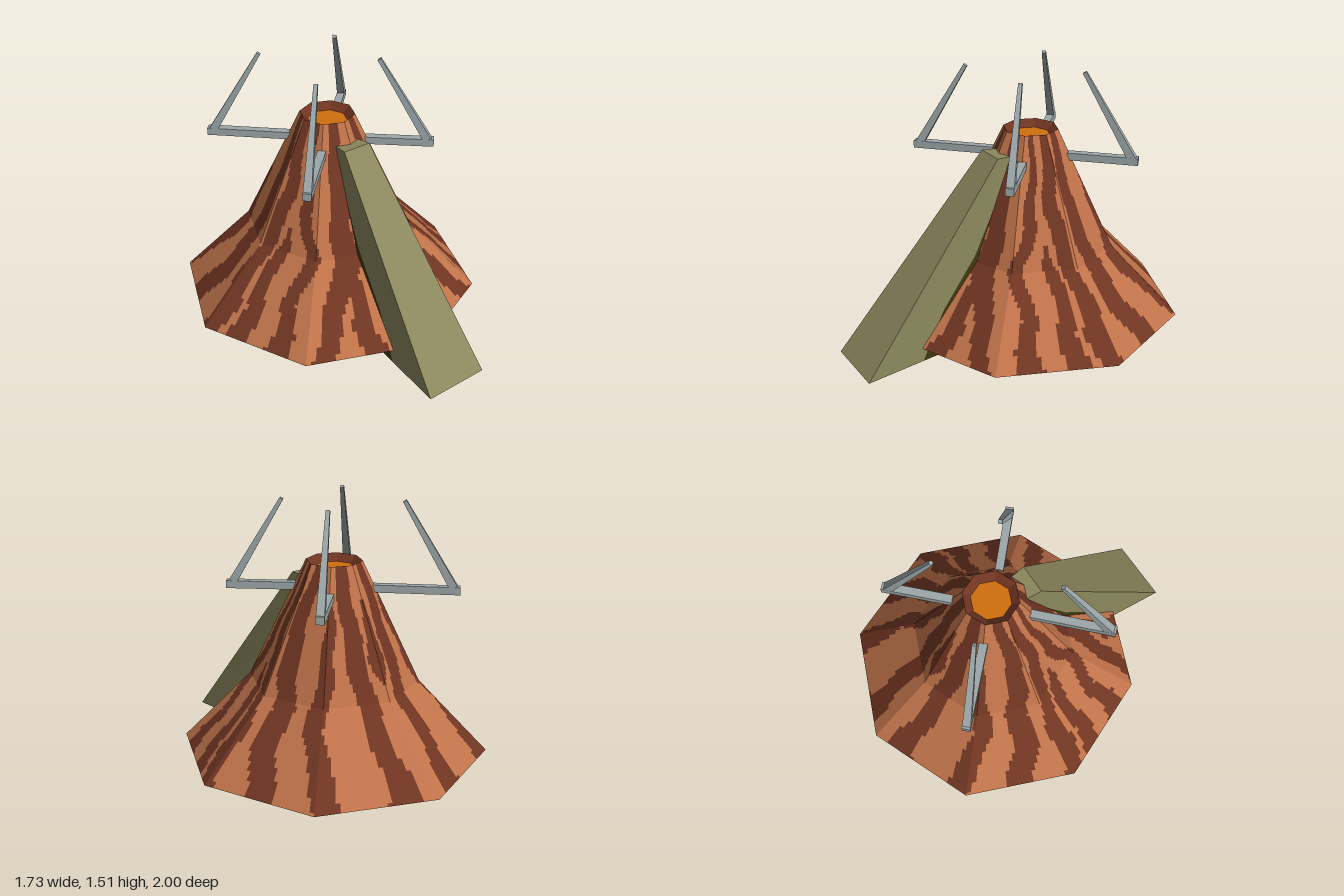
import * as THREE from 'three';

const mat = (name, color, side = THREE.FrontSide) => {
  const m = new THREE.MeshStandardMaterial({ color, side });
  m.name = name;
  return m;
};
const lerp = THREE.MathUtils.lerp;

// Piecewise linear lookup in rows [key, v1, v2...], keys ascending
function sample(rows, k, col) {
  let i = 1;
  while (i < rows.length - 1 && rows[i][0] < k) i++;
  const a = rows[i - 1], b = rows[i];
  return lerp(a[col], b[col], THREE.MathUtils.clamp((k - a[0]) / (b[0] - a[0]), 0, 1));
}

// Flat-shaded mesh from loose quads (corners counter-clockwise from outside)
function quadMesh(name, quads, material) {
  const pos = [];
  for (const [a, b, c, d] of quads) pos.push(...a, ...b, ...c, ...a, ...c, ...d);
  const g = new THREE.BufferGeometry();
  g.setAttribute('position', new THREE.Float32BufferAttribute(pos, 3));
  g.computeVertexNormals();
  const mesh = new THREE.Mesh(g, material);
  mesh.name = name;
  return mesh;
}

// Lava streaks, mirrored left and right: rows of [height, angle from front, half width]
const STREAKS = [
  [[0.09, 40, 4], [0.25, 34, 5], [0.5, 24, 10], [0.8, 27, 8], [1.17, 25, 10]],
  [[0.09, 17, 5], [0.3, 22, 4], [0.5, 24, 5]],
  [[0.09, 58, 5], [0.3, 56, 4], [0.5, 48, 5], [0.7, 56, 6], [1.0, 60, 5], [1.17, 58, 5]],
  [[0.09, 76, 5], [0.3, 75, 4], [0.5, 72, 5], [0.62, 70, 1]],
  [[0.09, 89, 4], [0.3, 87, 5], [0.5, 85, 5], [0.8, 78, 8], [1.17, 84, 8]],
  [[0.09, 112, 6], [0.3, 107, 7], [0.5, 106, 8], [0.85, 99, 9], [1.17, 110, 10]],
  [[0.09, 141, 5], [0.25, 134, 5], [0.4, 131, 6], [0.6, 134, 6], [0.85, 138, 6], [1.0, 136, 2]],
  [[0.09, 168, 6], [0.3, 167, 5], [0.5, 164, 7], [0.8, 160, 9], [1.17, 154, 12]],
  [[0.55, 180, 1], [0.7, 180, 7], [0.9, 180, 6], [1.0, 180, 1]],
];
function isDark(angle, y) {
  const a = Math.abs(angle > 180 ? angle - 360 : angle);
  return STREAKS.some((s) => {
    if (y < s[0][0] || y > s[s.length - 1][0]) return false;
    const wave = 1.5 * Math.sin(y * 19 + s[0][1]);
    return Math.abs(a - sample(s, y, 1) - wave) < sample(s, y, 2);
  });
}

export function createModel() {
  const model = new THREE.Group();
  const clay = mat('orange clay', 0xc0734a, THREE.DoubleSide);
  const brown = mat('dark brown rock', 0x703522, THREE.DoubleSide);
  const lavaMat = mat('lava orange', 0xd0700f);
  const olive = mat('olive', 0x8b875d, THREE.DoubleSide);
  const darkOlive = mat('dark olive', 0x403810, THREE.DoubleSide);
  const grey = mat('grey metal', 0x9da8aa);

  // Eight-sided mountain, open below, with streaks split into separate faces
  const mountain = new THREE.Group();
  mountain.name = 'mountain';
  mountain.position.z = -0.135;
  const corner = (i, r, y) => [r * Math.sin(i * Math.PI / 4), y, r * Math.cos(i * Math.PI / 4)];
  const mix = (p, q, t) => p.map((v, i) => lerp(v, q[i], t));
  const profile = [[0.865, 0.09], [0.475, 0.495], [0.155, 1.17]];
  const faces = { clay: [], dark: [] };
  const U = 24, V = 32;
  for (let side = 0; side < 8; side++) {
    for (let k = 0; k < 2; k++) {
      const [r0, y0] = profile[k], [r1, y1] = profile[k + 1];
      const at = (u, v) => {
        const r = lerp(r0, r1, v / V), y = lerp(y0, y1, v / V);
        return mix(corner(side, r, y), corner(side + 1, r, y), u / U);
      };
      for (let u = 0; u < U; u++) {
        for (let v = 0; v < V; v++) {
          const [x, y, z] = at(u + 0.5, v + 0.5);
          const angle = (Math.atan2(x, z) * 180 / Math.PI + 360) % 360;
          faces[isDark(angle, y) ? 'dark' : 'clay'].push(
            [at(u, v), at(u + 1, v), at(u + 1, v + 1), at(u, v + 1)]);
        }
      }
    }
  }
  mountain.add(quadMesh('slopes', faces.clay, clay), quadMesh('streaks', faces.dark, brown));

  // Crater lip sloping in to the lava
  const lip = [];
  for (let i = 0; i < 8; i++) {
    lip.push([corner(i, 0.155, 1.17), corner(i + 1, 0.155, 1.17), corner(i + 1, 0.11, 1.13), corner(i, 0.11, 1.13)]);
  }
  mountain.add(quadMesh('craterLip', lip, brown));
  const lava = new THREE.Mesh(new THREE.CircleGeometry(0.112, 8), lavaMat);
  lava.name = 'lava';
  lava.rotation.x = -Math.PI / 2;
  lava.position.y = 1.131;
  mountain.add(lava);
  model.add(mountain);

  // Hollow ramp: sloping front, cap and two side walls, dark where they enter the mountain
  const ramp = new THREE.Group();
  ramp.name = 'ramp';
  const front = (s, t) => mix([0.188 * s, 0, 1], [0.085 * s, 1.06, 0.13], t);
  const back = (s, t) => mix([0.125 * s, 0.03, 0.17], [0.07 * s, 1.05, -0.02], t);
  ramp.add(quadMesh('rampSurface', [
    [front(-1, 0), front(1, 0), front(1, 1), front(-1, 1)],
    [front(-1, 1), front(1, 1), back(1, 1), back(-1, 1)],
  ], olive));
  const split = [[0, 0.41], [0.1, 0.4], [0.25, 0.4], [0.5, 0.54], [0.75, 0.6], [1, 0.7]];
  for (const s of [1, -1]) {
    const outer = [], inner = [];
    for (let i = 0; i < split.length - 1; i++) {
      const [t0, f0] = split[i], [t1, f1] = split[i + 1];
      const m0 = mix(front(s, t0), back(s, t0), f0), m1 = mix(front(s, t1), back(s, t1), f1);
      const a = [front(s, t0), m0, m1, front(s, t1)], b = [m0, back(s, t0), back(s, t1), m1];
      outer.push(s > 0 ? a : a.reverse());
      inner.push(s > 0 ? b : b.reverse());
    }
    const label = s > 0 ? 'left' : 'right';
    ramp.add(quadMesh(label + 'RampWall', outer, olive), quadMesh(label + 'RampWallInner', inner, darkOlive));
  }
  model.add(ramp);

  // Four arms: a level beam with a tapering prong leaning back over the crater
  const arms = [[1, 1, 0.415, 0.26], [1, -1, 0.415, -0.545], [-1, 1, -0.47, 0.325], [-1, -1, -0.47, -0.6]];
  for (const [sx, sz, x, z] of arms) {
    const start = new THREE.Vector3(0.15 * sx, 1.02, -0.135 + 0.15 * sz);
    const dx = x - start.x, dz = z - start.z, length = Math.hypot(dx, dz);
    const arm = new THREE.Group();
    arm.name = (sz > 0 ? 'front' : 'back') + (sx > 0 ? 'Left' : 'Right') + 'Arm';
    arm.position.copy(start);
    arm.rotation.y = Math.atan2(-dz, dx);
    const beam = new THREE.Mesh(new THREE.BoxGeometry(length + 0.02, 0.042, 0.046), grey);
    beam.name = 'beam';
    beam.position.x = length / 2 + 0.01;
    const h = Math.hypot(0.28, 0.475);
    const prongGeo = new THREE.CylinderGeometry(0.015, 0.032, h, 4).rotateY(Math.PI / 4).toNonIndexed();
    prongGeo.computeVertexNormals();
    const prong = new THREE.Mesh(prongGeo, grey);
    prong.name = 'prong';
    prong.position.set(length - 0.01 - 0.14, 0.01 + 0.2325, 0);
    prong.rotation.z = Math.atan2(0.28, 0.475);
    arm.add(beam, prong);
    model.add(arm);
  }
  return model;
}
